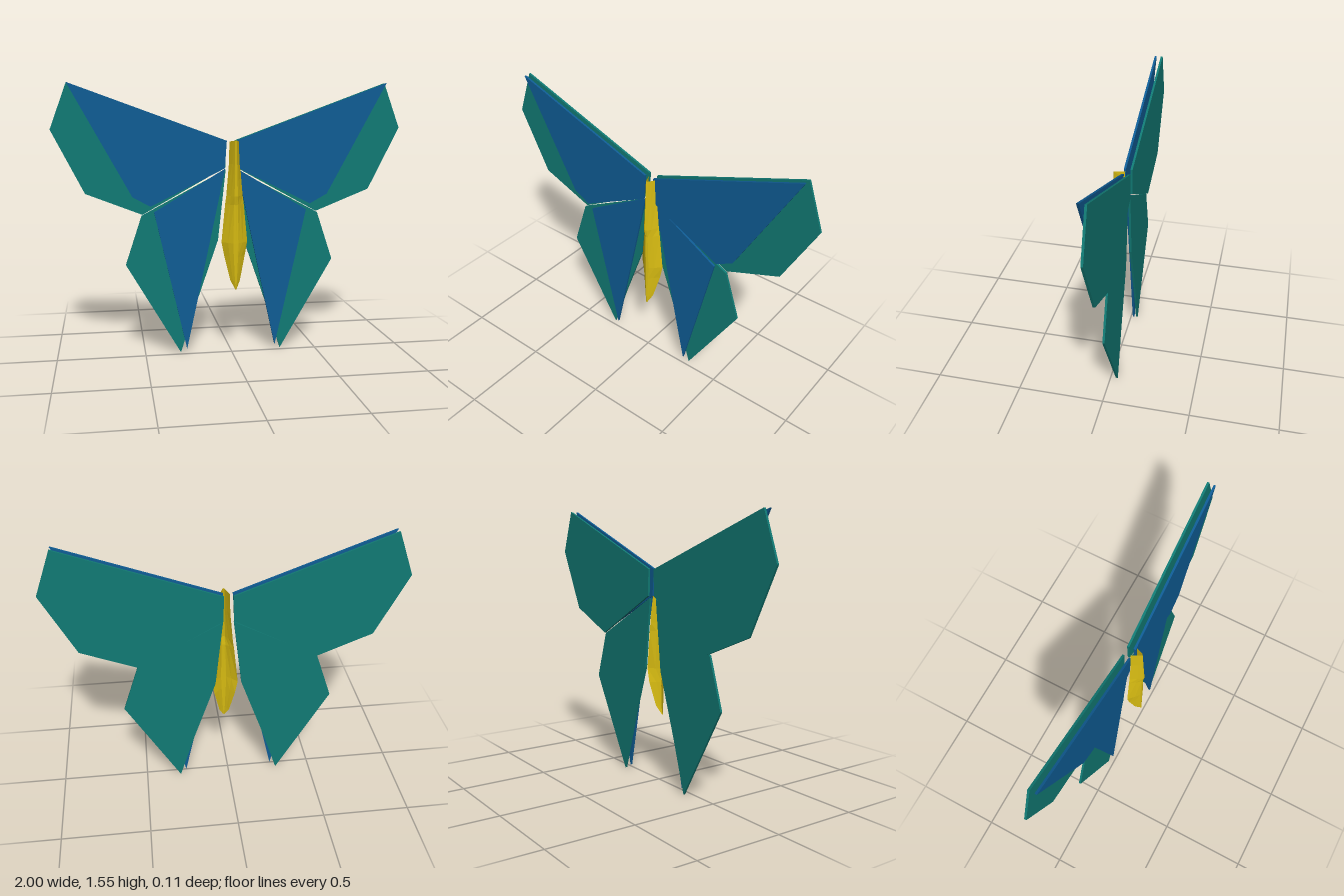
import * as THREE from 'three';

const material = (color, side = THREE.FrontSide) =>
  new THREE.MeshStandardMaterial({ color, side, flatShading: true });

// Thin flat plate from an outline, its back face at z
function plate(outline, z, mat, name) {
  const shape = new THREE.Shape(outline.map(([x, y]) => new THREE.Vector2(x, y)));
  const geometry = new THREE.ExtrudeGeometry(shape, { depth: 0.012, bevelEnabled: false });
  geometry.translate(0, 0, z);
  const mesh = new THREE.Mesh(geometry, mat);
  mesh.name = name;
  return mesh;
}

// Folded body shell, open at the back; rows are [y, half width, back z, front z]
function bodyShell(rows) {
  const section = [[-1, 0], [-0.55, 0.55], [-0.2, 0.92], [0, 1], [0.2, 0.92], [0.55, 0.55], [1, 0]];
  const n = section.length;
  const positions = [], index = [];
  for (const [y, w, back, front] of rows)
    for (const [u, v] of section)
      positions.push(0.018 + u * w, y - 0.008 * (1 - v) * (y > 1.2 ? 1 : 0), back + v * (front - back));
  for (let i = 0; i < rows.length - 1; i++)
    for (let j = 0; j < n - 1; j++) {
      const a = i * n + j, b = a + n;
      index.push(a, b, a + 1, a + 1, b, b + 1);
    }
  const geometry = new THREE.BufferGeometry();
  geometry.setAttribute('position', new THREE.Float32BufferAttribute(positions, 3));
  geometry.setIndex(index);
  geometry.computeVertexNormals();
  return geometry;
}

export function createModel() {
  const model = new THREE.Group();
  model.name = 'butterfly';
  const blue = material(0x0f5c94);
  const teal = material(0x117a74);
  const yellow = material(0xd8bc12, THREE.DoubleSide);

  // Wing layers, drawn for the +x side
  const layers = [
    ['ForewingFront', blue, -0.018,
      [[0.027, 1.23], [0.038, 1.075], [0.46, 0.865], [0.56, 0.92], [0.905, 1.553]]],
    ['ForewingBack', teal, -0.055,
      [[0.025, 1.23], [0.03, 1.078], [0.505, 0.815], [0.82, 0.94], [1, 1.297], [0.905, 1.553]]],
    ['HindwingFront', blue, -0.029,
      [[0.035, 1.07], [0.2, 0.3], [0.26, 0.025], [0.44, 0.83]]],
    ['HindwingBack', teal, -0.043,
      [[0.03, 1.065], [0.075, 0.66], [0.2, 0.3], [0.295, 0], [0.603, 0.53], [0.51, 0.81]]],
  ];
  for (const [side, s] of [['left', 1], ['right', -1]]) {
    const wing = new THREE.Group();
    wing.name = side + 'Wing';
    for (const [name, mat, z, outline] of layers)
      wing.add(plate(outline.map(([x, y]) => [s * x, y]), z, mat, side + name));
    model.add(wing);
  }

  // Body
  const body = new THREE.Mesh(bodyShell([
    [1.233, 0.028, -0.018, 0.04],
    [1.1, 0.032, -0.014, 0.046],
    [0.92, 0.047, -0.014, 0.055],
    [0.87, 0.054, -0.014, 0.046],
    [0.65, 0.075, -0.016, 0.044],
    [0.57, 0.06, -0.014, 0.043],
    [0.43, 0.028, 0.012, 0.041],
    [0.38, 0.003, 0.036, 0.04],
  ]), yellow);
  body.name = 'body';
  model.add(body);
  return model;
}
